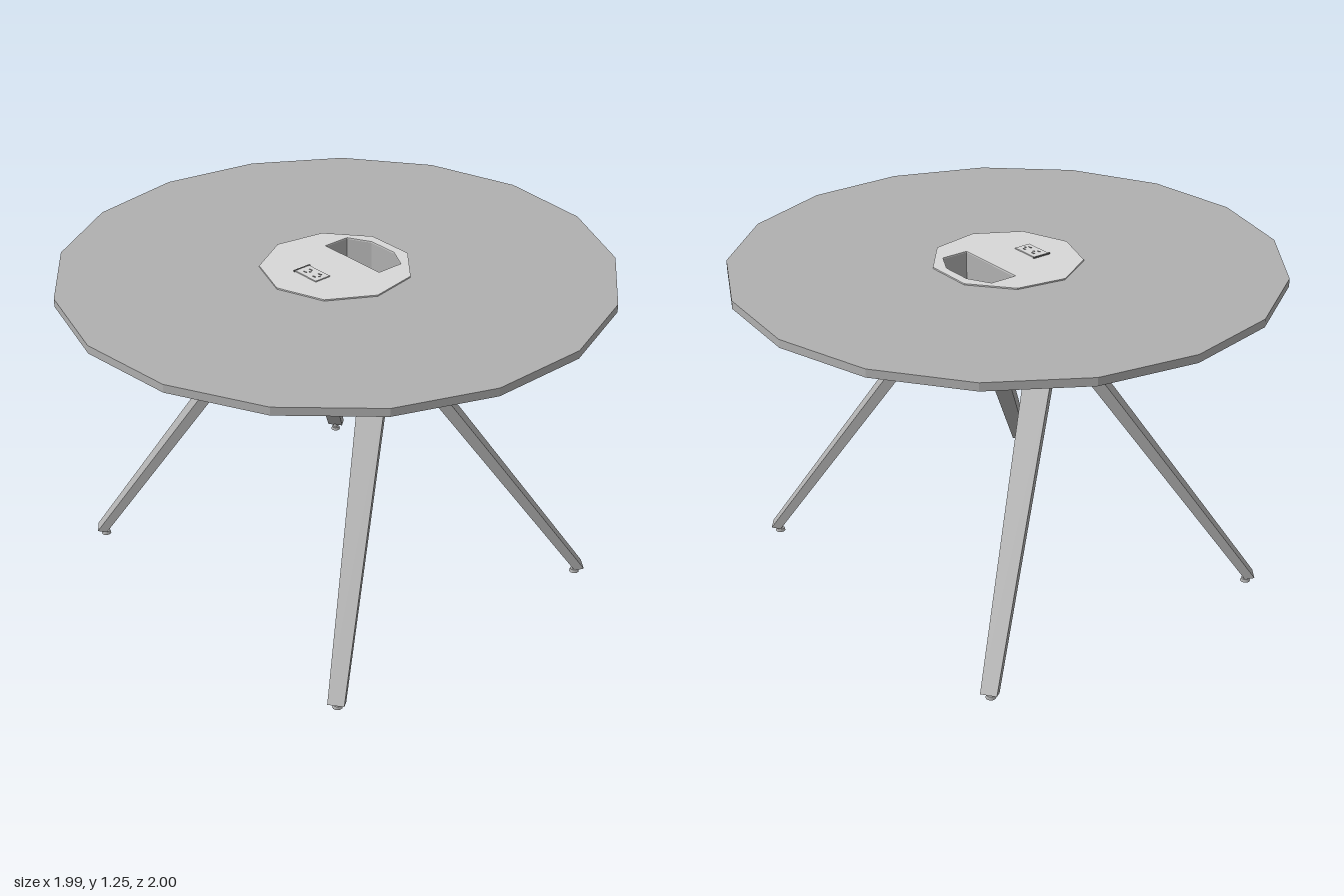
import * as THREE from 'three';

const CX = 0.007; // the table axis sits slightly off the bounding-box centre

const grey = new THREE.MeshStandardMaterial({ color: 0xb0b0b0, side: THREE.DoubleSide });
grey.name = 'grey';
const lightGrey = new THREE.MeshStandardMaterial({ color: 0xd8d8d8 });
lightGrey.name = 'light grey';
const darkGrey = new THREE.MeshStandardMaterial({ color: 0x707070 });
darkGrey.name = 'dark grey';

// Outline of the storage opening, as x, z
const OPENING = [[-0.14, -0.075], [0.15, -0.075], [0.15, -0.18], [0.065, -0.225], [-0.055, -0.225], [-0.14, -0.18]];

function part(parent, name, geometry, material, x = 0, y = 0, z = 0) {
  const mesh = new THREE.Mesh(geometry, material);
  mesh.name = name;
  mesh.position.set(x, y, z);
  parent.add(mesh);
  return mesh;
}

const toPoints = (list) => list.map(([x, z]) => new THREE.Vector2(x, -z));

// Regular polygon in plan; angle 0 points to +z
function polygon(sides, radius, cx, start) {
  const points = [];
  for (let i = 0; i < sides; i++) {
    const a = start + (i * 2 * Math.PI) / sides;
    points.push([cx + radius * Math.sin(a), radius * Math.cos(a)]);
  }
  return points;
}

// Horizontal plate with an optional opening, rising from y = 0
function plate(outline, hole, height) {
  const shape = new THREE.Shape(toPoints(outline));
  if (hole) shape.holes.push(new THREE.Path(toPoints(hole)));
  return new THREE.ExtrudeGeometry(shape, { depth: height, bevelEnabled: false }).rotateX(-Math.PI / 2);
}

// Flat tapered bar: vertical at the top, then bent outwards along local z
function legGeometry() {
  const geometry = new THREE.BoxGeometry(1, 2, 1, 1, 2, 1);
  const sections = [
    { y: 0.025, z: 0.65, w: 0.06, d: 0.035, tilt: 0.2 },
    { y: 0.93, z: 0, w: 0.1, d: 0.04, tilt: 0.5 },
    { y: 1.205, z: 0, w: 0.1, d: 0.04, tilt: 0 },
  ];
  const p = geometry.attributes.position;
  for (let i = 0; i < p.count; i++) {
    const s = sections[Math.round(p.getY(i)) + 1];
    const dz = p.getZ(i) * s.d;
    p.setXYZ(i, p.getX(i) * s.w, s.y + dz * s.tilt, s.z + dz);
  }
  const flat = geometry.toNonIndexed();
  flat.computeVertexNormals();
  return flat;
}

export function createModel() {
  const table = new THREE.Group();
  table.name = 'roundTable';

  // Top with the central insert
  part(table, 'tableTop', plate(polygon(17, 1.004, 0.0085, -Math.PI / 2), OPENING, 0.03), grey, 0, 1.21, 0);
  part(table, 'centreInsert', plate(polygon(9, 0.275, CX, 0), OPENING, 0.005), lightGrey, 0, 1.24, 0);

  // Storage tray under the opening
  const rim = OPENING.map(([x, z]) => [0.005 + (x - 0.005) * 1.05, -0.15 + (z + 0.15) * 1.08]);
  part(table, 'trayWall', plate(rim, OPENING, 0.08), grey, 0, 1.13, 0);
  part(table, 'trayFloor', plate(rim, null, 0.006), grey, 0, 1.126, 0);

  // Power outlet
  const outlet = new THREE.Group();
  outlet.name = 'powerOutlet';
  outlet.position.set(CX, 1.245, 0.112);
  table.add(outlet);
  part(outlet, 'outletPlate', new THREE.BoxGeometry(0.11, 0.004, 0.065), lightGrey, 0, 0.002, 0);
  part(outlet, 'outletEdge', new THREE.BoxGeometry(0.006, 0.005, 0.075), darkGrey, -0.058, 0.0025, 0);
  for (const x of [-0.025, 0.025]) {
    for (const z of [-0.013, 0.013]) {
      part(outlet, 'outletSlot', new THREE.BoxGeometry(0.014, 0.002, 0.005), darkGrey, x, 0.0045, z);
    }
    part(outlet, 'outletPin', new THREE.BoxGeometry(0.006, 0.002, 0.006), darkGrey, x + 0.012, 0.0045, 0);
  }

  // Hollow tapered apron, open at the bottom
  part(table, 'apron', new THREE.CylinderGeometry(0.555, 0.445, 0.17, 14, 1, true), grey, CX, 1.125, 0);

  // Rails joining each pair of legs
  for (const s of [-1, 1]) {
    part(table, 'sideRail', new THREE.BoxGeometry(0.03, 0.06, 0.2), grey, CX + s * 0.315, 1.17, 0);
    part(table, 'crossRail', new THREE.BoxGeometry(0.6, 0.04, 0.02), grey, CX, 1.1, s * 0.1 + 0.003);
  }

  // Four splayed legs with levelling feet
  const legShape = legGeometry();
  for (const sx of [-1, 1]) {
    for (const sz of [-1, 1]) {
      const leg = new THREE.Group();
      leg.name = (sz > 0 ? 'front' : 'back') + (sx > 0 ? 'Left' : 'Right') + 'Leg';
      leg.position.set(CX + sx * 0.315, 0, sz * 0.1);
      leg.rotation.y = Math.atan2(sx * 0.395, sz * 0.52);
      part(leg, 'legBar', legShape, grey);
      part(leg, 'footStem', new THREE.CylinderGeometry(0.009, 0.009, 0.025, 8), grey, 0, 0.021, 0.637);
      part(leg, 'footPad', new THREE.CylinderGeometry(0.016, 0.019, 0.012, 10), grey, 0, 0.006, 0.637);
      table.add(leg);
    }
  }
  return table;
}
